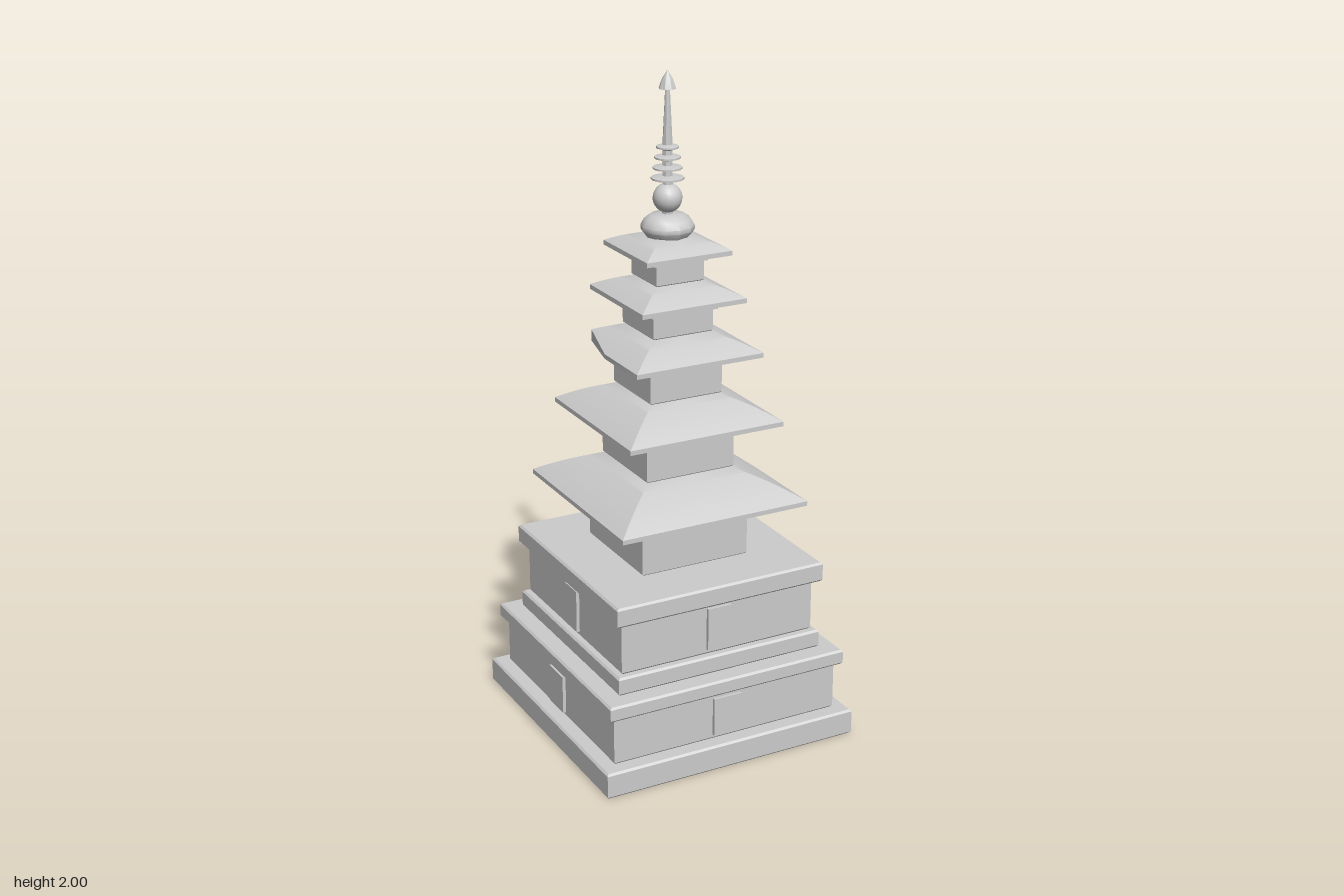
import * as THREE from 'three';
import { toCreasedNormals } from 'three/addons/utils/BufferGeometryUtils.js';

const material = new THREE.MeshStandardMaterial({ color: 0xcccccc });

function add(parent, name, geometry) {
  const mesh = new THREE.Mesh(geometry, material);
  mesh.name = name;
  parent.add(mesh);
  return mesh;
}

// Square stone block with a fine bevel; chip cuts the back left corner
function block(half, y0, y1, chip = 0, bevel = 0.006) {
  const h = half - bevel;
  const shape = new THREE.Shape();
  shape.moveTo(-h, -h);
  shape.lineTo(h, -h);
  if (chip) {
    shape.lineTo(h, h - chip * 1.2);
    shape.lineTo(h - chip * 0.3, h - chip * 0.6);
    shape.lineTo(h - chip, h);
  } else shape.lineTo(h, h);
  shape.lineTo(-h, h);
  shape.closePath();
  const geo = new THREE.ExtrudeGeometry(shape, {
    depth: y1 - y0 - 2 * bevel, bevelEnabled: true,
    bevelThickness: bevel, bevelSize: bevel, bevelSegments: 1,
  });
  geo.rotateX(-Math.PI / 2);
  geo.translate(0, y0 + bevel, 0);
  return geo;
}

// Hipped roof with a gently convex slope, from rings of corners and edge middles.
// A broken corner is pulled in to the distance "limit" on the side brokenX, -z.
function roof(half, topHalf, y0, y1, brokenX = 0, limit = half) {
  const lip = 0.014, steps = 8;
  const ringPoints = [[-1, 1], [0, 1], [1, 1], [1, 0], [1, -1], [0, -1], [-1, -1], [-1, 0]];
  const slope = (r) => {
    const t = (half - r) / (half - topHalf);
    return y0 + lip + (y1 - y0 - lip) * (1.4 * t - 0.4 * t * t);
  };
  const positions = [], index = [];
  const ring = (r, y, onSlope) => ringPoints.forEach(([x, z]) => {
    const broken = brokenX !== 0 && x === brokenX && z === -1 && r > limit;
    const d = broken ? limit : r;
    positions.push(x * d, broken && onSlope ? slope(limit) : y, z * d);
  });
  ring(half, y0, false);
  for (let i = 0; i <= steps; i++) {
    const r = half + (topHalf - half) * i / steps;
    ring(r, slope(r), true);
  }
  for (let i = 0; i <= steps; i++) {
    for (let j = 0; j < 8; j++) {
      const a = i * 8 + j, b = i * 8 + (j + 1) % 8;
      index.push(a, b, b + 8, a, b + 8, a + 8);
    }
  }
  // flat underside and top
  const bottom = positions.length / 3, top = bottom + 1, last = (steps + 1) * 8;
  positions.push(0, y0, 0, 0, y1, 0);
  for (let j = 0; j < 8; j++) {
    const k = (j + 1) % 8;
    index.push(bottom, k, j, top, last + j, last + k);
  }
  const geo = new THREE.BufferGeometry();
  geo.setAttribute('position', new THREE.Float32BufferAttribute(positions, 3));
  geo.setIndex(index);
  return toCreasedNormals(geo, 0.5);
}

function lathe(points, sides) {
  const geo = new THREE.LatheGeometry(points.map(([r, y]) => new THREE.Vector2(r, y)), sides);
  return toCreasedNormals(geo, 0.7);
}

export function createModel() {
  const model = new THREE.Group();
  model.name = 'stonePagoda';

  // Two-tier pedestal
  const pedestal = new THREE.Group();
  pedestal.name = 'pedestal';
  model.add(pedestal);
  add(pedestal, 'groundSlab', block(0.413, 0, 0.08, 0.05));
  add(pedestal, 'lowerBody', block(0.37, 0.08, 0.23));
  add(pedestal, 'lowerCap', block(0.39, 0.23, 0.277));
  add(pedestal, 'upperBaseSlab', block(0.336, 0.277, 0.333));
  add(pedestal, 'upperBody', block(0.317, 0.333, 0.495));
  add(pedestal, 'upperCap', block(0.341, 0.495, 0.556));

  // One pilaster in the middle of each pedestal face
  for (const [half, y0, y1, width] of [[0.37, 0.095, 0.215, 0.092], [0.317, 0.35, 0.482, 0.078]]) {
    for (let k = 0; k < 4; k++) {
      const geo = new THREE.BoxGeometry(width, y1 - y0, 0.02);
      geo.translate(0, (y0 + y1) / 2, half);
      add(pedestal, 'pilaster', geo).rotation.y = k * Math.PI / 2;
    }
  }

  // Five storeys: body, stepped corbels, roof
  const storeys = [
    { body: 0.175, y: 0.556, corbel: 0.69, eave: 0.733, top: 0.832, half: 0.304, topHalf: 0.125, out: 0.237, steps: 4, brokenX: 1, limit: 0.248 },
    { body: 0.144, y: 0.832, corbel: 0.945, eave: 0.975, top: 1.06, half: 0.25, topHalf: 0.1, out: 0.192, steps: 4, chip: 0.035 },
    { body: 0.117, y: 1.06, corbel: 1.152, eave: 1.18, top: 1.247, half: 0.205, topHalf: 0.08, out: 0.158, steps: 4, brokenX: -1, limit: 0.166 },
    { body: 0.097, y: 1.247, corbel: 1.315, eave: 1.34, top: 1.397, half: 0.168, topHalf: 0.065, out: 0.13, steps: 3 },
    { body: 0.077, y: 1.397, corbel: 1.458, eave: 1.478, top: 1.525, half: 0.137, topHalf: 0.055, out: 0.104, steps: 3 },
  ];
  storeys.forEach((s, i) => {
    const storey = new THREE.Group();
    storey.name = 'storey' + (i + 1);
    model.add(storey);
    add(storey, 'body', block(s.body, s.y, s.corbel, s.chip, 0.003));
    const rise = (s.eave - s.corbel) / s.steps;
    for (let k = 0; k < s.steps; k++) {
      const half = s.body + (s.out - s.body) * (k + 1) / s.steps;
      const geo = new THREE.BoxGeometry(half * 2, rise, half * 2);
      geo.translate(0, s.corbel + rise * (k + 0.5), 0);
      add(storey, 'corbel', geo);
    }
    add(storey, 'roof', roof(s.half, s.topHalf, s.eave, s.top, s.brokenX, s.limit));
  });

  // Finial: bowl, ball, rings, spire and pointed tip
  const finial = new THREE.Group();
  finial.name = 'finial';
  model.add(finial);
  add(finial, 'bowl', lathe([[0, 1.52], [0.062, 1.52], [0.078, 1.542], [0.078, 1.554],
    [0.068, 1.572], [0.05, 1.585], [0, 1.588]], 12));
  const ball = new THREE.SphereGeometry(0.043, 16, 12);
  ball.translate(0, 1.633, 0);
  add(finial, 'ball', ball);
  for (let k = 0; k < 4; k++) {
    const r = 0.048 - k * 0.005, y = 1.69 + k * 0.03;
    add(finial, 'ring', lathe([[0, y - 0.008], [0.015, y - 0.008], [r, y - 0.002],
      [r, y + 0.003], [0.015, y + 0.008], [0, y + 0.008]], 12));
  }
  add(finial, 'spire', lathe([[0.016, 1.585], [0.015, 1.79], [0.007, 1.95]], 8));
  add(finial, 'tip', lathe([[0, 1.95], [0.026, 1.947], [0.016, 1.975], [0, 2]], 8));

  return model;
}
